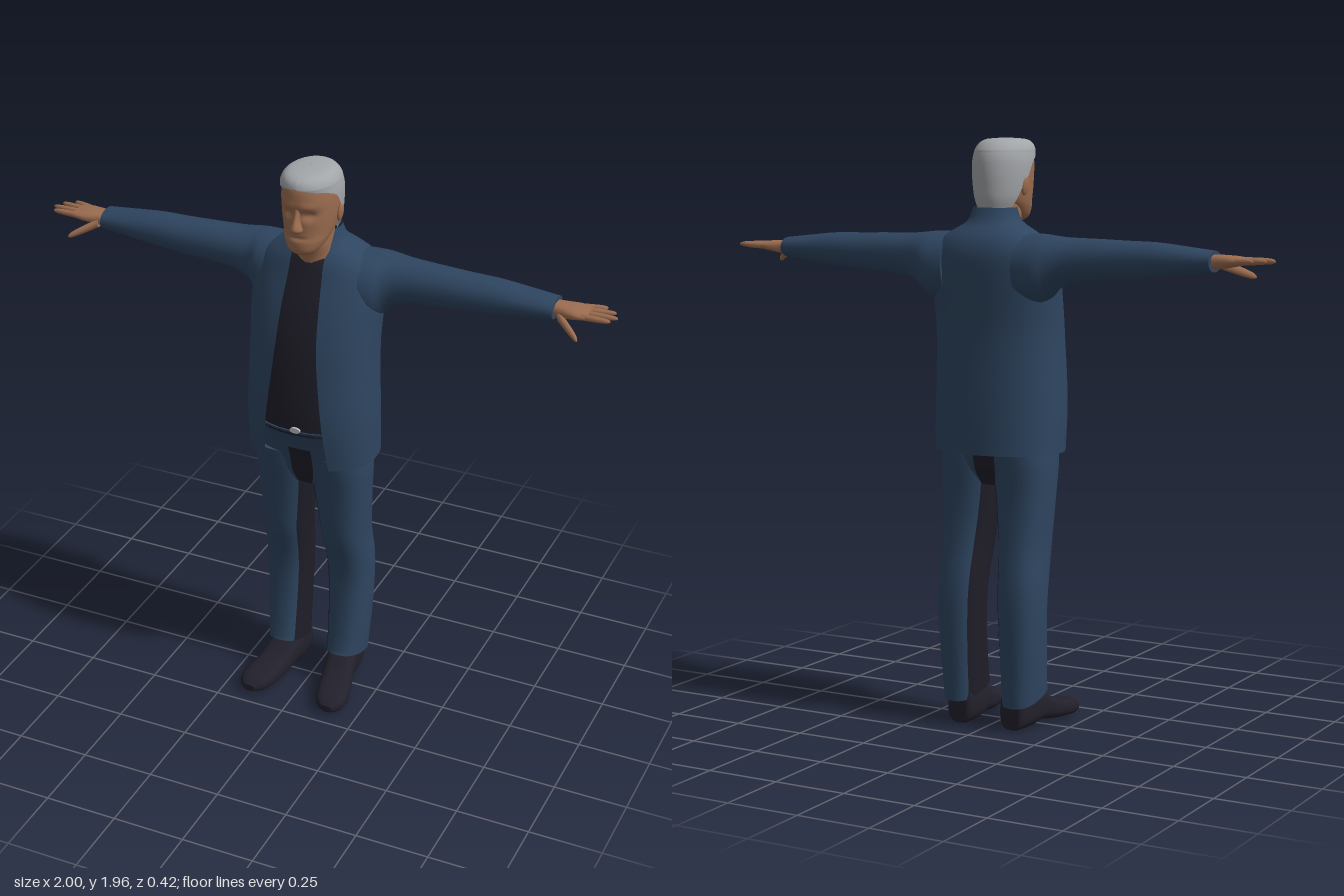
import * as THREE from 'three';

const mat = (name, color, side = THREE.FrontSide) => {
  const m = new THREE.MeshStandardMaterial({ color, side });
  m.name = name;
  return m;
};

// Catmull-Rom refinement of loft rows
function refine(rows, k) {
  const out = [];
  const at = i => rows[Math.max(0, Math.min(rows.length - 1, i))];
  for (let i = 0; i < rows.length - 1; i++) {
    for (let s = 0; s < k; s++) {
      const t = s / k;
      out.push(rows[i].map((b, c) => {
        const a = at(i - 1)[c], d = at(i + 1)[c], e = at(i + 2)[c];
        return b + 0.5 * t * (d - a + t * (2 * a - 5 * b + 4 * d - e + t * (3 * (b - d) + e - a)));
      }));
    }
  }
  out.push(rows[rows.length - 1]);
  return out;
}

// Where a ring point (u, v) at station t lands for each loft axis
const PLACE = {
  x: (t, u, v) => [t, u, v],
  y: (t, u, v) => [u, t, v],
  z: (t, u, v) => [u, v, t],
};

// Loft of superellipse rings. Row: [t, uMin, uMax, vMin, vMax, startAngle]
function loft(axis, rows, { n = 2, seg = 28, k = 3, open = false, caps = true, group, move } = {}) {
  const pos = [], geo = new THREE.BufferGeometry(), bins = [[], []];
  const pw = q => Math.sign(q) * Math.abs(q) ** (2 / n);
  const cols = open ? seg + 1 : seg, flip = axis === 'y' ? 1 : -1;
  const list = refine(rows, k);
  for (const [t, u0, u1, v0, v1, a0 = 0] of list) {
    for (let j = 0; j < cols; j++) {
      const a = a0 + (j / seg) * 2 * (Math.PI - a0);
      const u = (u0 + u1) / 2 + flip * (u1 - u0) / 2 * pw(Math.sin(a));
      const v = (v0 + v1) / 2 + (v1 - v0) / 2 * pw(Math.cos(a));
      const p = PLACE[axis](t, u, v);
      if (move) move(p, t);
      pos.push(...p);
    }
  }
  for (let i = 0; i < list.length - 1; i++) {
    for (let j = 0; j < seg; j++) {
      const j2 = (j + 1) % cols, a = i * cols + j, b = i * cols + j2;
      const m = group ? group(list[i][0], (j + 0.5) / seg * 2 * Math.PI) : 0;
      bins[m].push(a, b, b + cols, a, b + cols, a + cols);
    }
  }
  if (caps && !open) {
    for (const end of [0, list.length - 1]) {
      const base = pos.length / 3, c = [0, 0, 0];
      for (let j = 0; j < cols; j++) {
        for (let d = 0; d < 3; d++) {
          const q = pos[(end * cols + j) * 3 + d];
          pos.push(q);
          c[d] += q / cols;
        }
      }
      pos.push(...c);
      for (let j = 0; j < cols; j++) {
        const a = base + j, b = base + (j + 1) % cols;
        bins[0].push(...(end ? [a, b, base + cols] : [b, a, base + cols]));
      }
    }
  }
  geo.setAttribute('position', new THREE.Float32BufferAttribute(pos, 3));
  geo.setIndex([...bins[0], ...bins[1]]);
  if (group) {
    geo.addGroup(0, bins[0].length, 0);
    geo.addGroup(bins[0].length, bins[1].length, 1);
  }
  geo.computeVertexNormals();
  return geo;
}

function mirrored(geo) {
  const g = geo.clone().scale(-1, 1, 1), ix = g.index.array;
  for (let i = 0; i < ix.length; i += 3) [ix[i], ix[i + 1]] = [ix[i + 1], ix[i]];
  return g;
}

// Left-right symmetric row: [y, half width, front z, back z, startAngle]
const sym = ([y, r, zf, zb, a = 0]) => [y, -r, r, zb, zf, a];
const bump = (a, b, sa, sb) => Math.exp(-((a / sa) ** 2) - (b / sb) ** 2);

export function createModel() {
  const root = new THREE.Group();
  root.name = 'man';
  const suit = mat('suit blue', 0x2e4560, THREE.DoubleSide);
  const dark = mat('shirt black', 0x1f1e29);
  const shoe = mat('shoe black', 0x22202b);
  const skin = mat('skin', 0x9c6d50);
  const grey = mat('hair grey', 0xa3a6a9, THREE.DoubleSide);
  const metal = mat('buckle silver', 0xb9bcc0);

  const add = (name, geo, m) => {
    const mesh = new THREE.Mesh(geo, m);
    mesh.name = name;
    root.add(mesh);
  };
  const pair = (name, geo, m) => {
    add(name + 'Left', geo, m);
    add(name + 'Right', mirrored(geo), m);
  };

  // Jacket, open down the front: [y, half width, front, back, half opening]
  const n = 2.3;
  const jacket = [
    [0.93, 0.222, 0.14, -0.2, 0.115], [1.1, 0.222, 0.16, -0.2, 0.1],
    [1.3, 0.217, 0.143, -0.195, 0.078], [1.4, 0.219, 0.125, -0.2, 0.07],
    [1.5, 0.222, 0.095, -0.208, 0.065], [1.58, 0.215, 0.063, -0.21, 0.06],
    [1.63, 0.185, 0.045, -0.195, 0.058], [1.66, 0.14, 0.03, -0.173, 0.06],
    [1.69, 0.09, 0.015, -0.145, 0.065], [1.735, 0.073, -0.005, -0.125, 0.066],
  ].map(([y, r, f, b, gap]) => sym([y, r, f, b, Math.asin((gap / r) ** (n / 2))]));
  add('jacket', loft('y', jacket, { n, seg: 48, open: true }), suit);

  // Shirt
  add('shirt', loft('y', [
    [1.05, 0.195, 0.143, -0.18], [1.15, 0.198, 0.142, -0.182], [1.3, 0.198, 0.128, -0.18],
    [1.4, 0.198, 0.11, -0.185], [1.5, 0.195, 0.082, -0.19], [1.58, 0.17, 0.052, -0.185],
    [1.62, 0.12, 0.038, -0.16], [1.645, 0.07, 0.028, -0.12],
  ].map(sym), { n }), dark);

  // Sleeves: [x, bottom, top, back, front]
  pair('sleeve', loft('x', [
    [0.13, 1.43, 1.655, -0.2, 0.035], [0.2, 1.43, 1.654, -0.203, 0.02],
    [0.24, 1.468, 1.65, -0.19, -0.008], [0.3, 1.5, 1.645, -0.172, -0.02],
    [0.4, 1.51, 1.643, -0.16, -0.024], [0.5, 1.517, 1.64, -0.155, -0.025],
    [0.6, 1.526, 1.638, -0.152, -0.028], [0.7, 1.538, 1.628, -0.148, -0.033],
    [0.8, 1.55, 1.617, -0.142, -0.04],
  ], { n: 2.1 }), suit);

  // Hands
  pair('palm', loft('x', [
    [0.77, 1.556, 1.606, -0.122, -0.06], [0.82, 1.56, 1.606, -0.126, -0.052],
    [0.87, 1.569, 1.603, -0.137, -0.04], [0.91, 1.577, 1.597, -0.137, -0.045],
  ], { n: 2.5, seg: 16 }), skin);
  const digit = (a, b, r) => loft('x', [[0, 1], [0.55, 0.9], [0.9, 0.65], [1, 0.2]].map(([t, s]) => {
    const [x, y, z] = a.map((q, i) => q + (b[i] - q) * t);
    return [x, y - r * s, y + r * s, z - r * s, z + r * s];
  }), { seg: 8, k: 2 });
  [[-0.125, 0.95, -0.142], [-0.103, 0.985, -0.118], [-0.08, 1, -0.085], [-0.056, 0.985, -0.055]]
    .forEach(([z, x, tz], i) =>
      pair('finger' + (i + 1), digit([0.88, 1.587, z], [x, 1.589, tz], 0.0115), skin));
  pair('thumb', digit([0.815, 1.572, -0.062], [0.9, 1.533, 0.002], 0.016), skin);

  // Trousers: hips, then legs with dark inner panels
  add('trouserHips', loft('y', [
    [0.82, 0.12, 0.052, -0.11], [0.87, 0.188, 0.074, -0.135], [0.93, 0.2, 0.088, -0.147],
    [1, 0.2, 0.112, -0.16], [1.068, 0.197, 0.148, -0.17],
  ].map(sym), {
    n: 2.3, seg: 40,
    group: (y, a) => (y < 0.97 && Math.abs(Math.sin(a)) < 0.14 ? 1 : 0),
  }), [suit, dark]);
  pair('trouserLeg', loft('y', [
    [0.105, 0.048, 0.174, -0.157, 0.036], [0.25, 0.045, 0.184, -0.167, 0.014],
    [0.4, 0.04, 0.19, -0.172, 0.003], [0.5, 0.036, 0.191, -0.166, 0.015],
    [0.6, 0.03, 0.187, -0.15, 0.042], [0.7, 0.018, 0.192, -0.139, 0.054],
    [0.8, 0.006, 0.197, -0.136, 0.067], [0.88, 0.001, 0.2, -0.14, 0.08], [0.94, 0.001, 0.198, -0.14, 0.086],
  ], {
    n: 2.4, seg: 32,
    group: (y, a) => (Math.sin(a) < -0.74 ? 1 : 0),
    move: (p, t) => { if (t < 0.12) p[1] += 0.26 * (p[2] + 0.06); },
  }), [suit, dark]);

  // Belt buckle
  const buckle = new THREE.CylinderGeometry(0.018, 0.018, 0.008, 20);
  buckle.rotateX(Math.PI / 2).scale(1, 0.55, 1).translate(0.008, 1.075, 0.15);
  add('beltBuckle', buckle, metal);

  // Shoes: [z, inner, outer, bottom, top]
  pair('shoe', loft('z', [
    [-0.14, 0.07, 0.132, 0.004, 0.1], [-0.125, 0.053, 0.148, 0, 0.13],
    [-0.05, 0.052, 0.158, 0, 0.135], [0, 0.055, 0.165, 0.01, 0.118],
    [0.06, 0.066, 0.18, 0.002, 0.08], [0.13, 0.08, 0.197, 0, 0.062],
    [0.18, 0.098, 0.192, 0.002, 0.052], [0.208, 0.128, 0.168, 0.012, 0.036],
  ], { n: 2.8, seg: 24 }), shoe);

  // Neck and head with eye sockets, mouth and brow pressed into the face
  add('neck', loft('y', [
    [1.58, 0.066, 0.03, -0.11], [1.65, 0.062, 0.036, -0.1],
    [1.7, 0.062, 0.055, -0.095], [1.76, 0.064, 0.06, -0.1],
  ].map(sym)), skin);
  add('head', loft('y', [
    [1.684, 0.022, 0.092, 0.04], [1.7, 0.05, 0.11, 0], [1.73, 0.069, 0.114, -0.05],
    [1.76, 0.079, 0.11, -0.09], [1.8, 0.086, 0.112, -0.11], [1.84, 0.089, 0.113, -0.115],
    [1.88, 0.089, 0.115, -0.115], [1.92, 0.082, 0.104, -0.1], [1.944, 0.055, 0.07, -0.07],
  ].map(sym), {
    n: 2.15, seg: 56, k: 6,
    move: p => {
      if (p[2] < 0.03) return;
      const x = Math.abs(p[0]), y = p[1];
      p[2] += 0.005 * bump(x - 0.03, y - 1.858, 0.03, 0.012)
        - 0.014 * bump(x - 0.036, y - 1.828, 0.02, 0.014)
        - 0.006 * bump(x, y - 1.748, 0.03, 0.005);
    },
  }), skin);
  add('nose', loft('y', [
    [1.768, 0.01, 0.122, 0.09], [1.779, 0.02, 0.138, 0.09], [1.792, 0.017, 0.143, 0.09],
    [1.82, 0.01, 0.129, 0.09], [1.85, 0.01, 0.116, 0.09],
  ].map(sym), { seg: 16 }), skin);
  const ear = new THREE.SphereGeometry(1, 14, 10);
  ear.scale(0.009, 0.031, 0.019).rotateZ(-0.12).translate(0.089, 1.803, -0.022);
  pair('ear', ear, skin);

  // Hair shell, cut away around the face
  add('hair', loft('y', [
    [1.72, 0.07, 0.1, -0.115, 2.2], [1.76, 0.086, 0.115, -0.127, 2.02],
    [1.8, 0.093, 0.12, -0.131, 1.85], [1.84, 0.096, 0.121, -0.133, 1.6],
    [1.88, 0.097, 0.122, -0.131, 1.38], [1.902, 0.095, 0.124, -0.127, 1],
    [1.914, 0.093, 0.126, -0.123, 0.5], [1.924, 0.091, 0.127, -0.119, 0],
    [1.944, 0.079, 0.117, -0.1, 0], [1.956, 0.055, 0.085, -0.07, 0], [1.96, 0.002, 0.002, -0.002, 0],
  ].map(sym), { seg: 44, open: true }), grey);

  return root;
}
